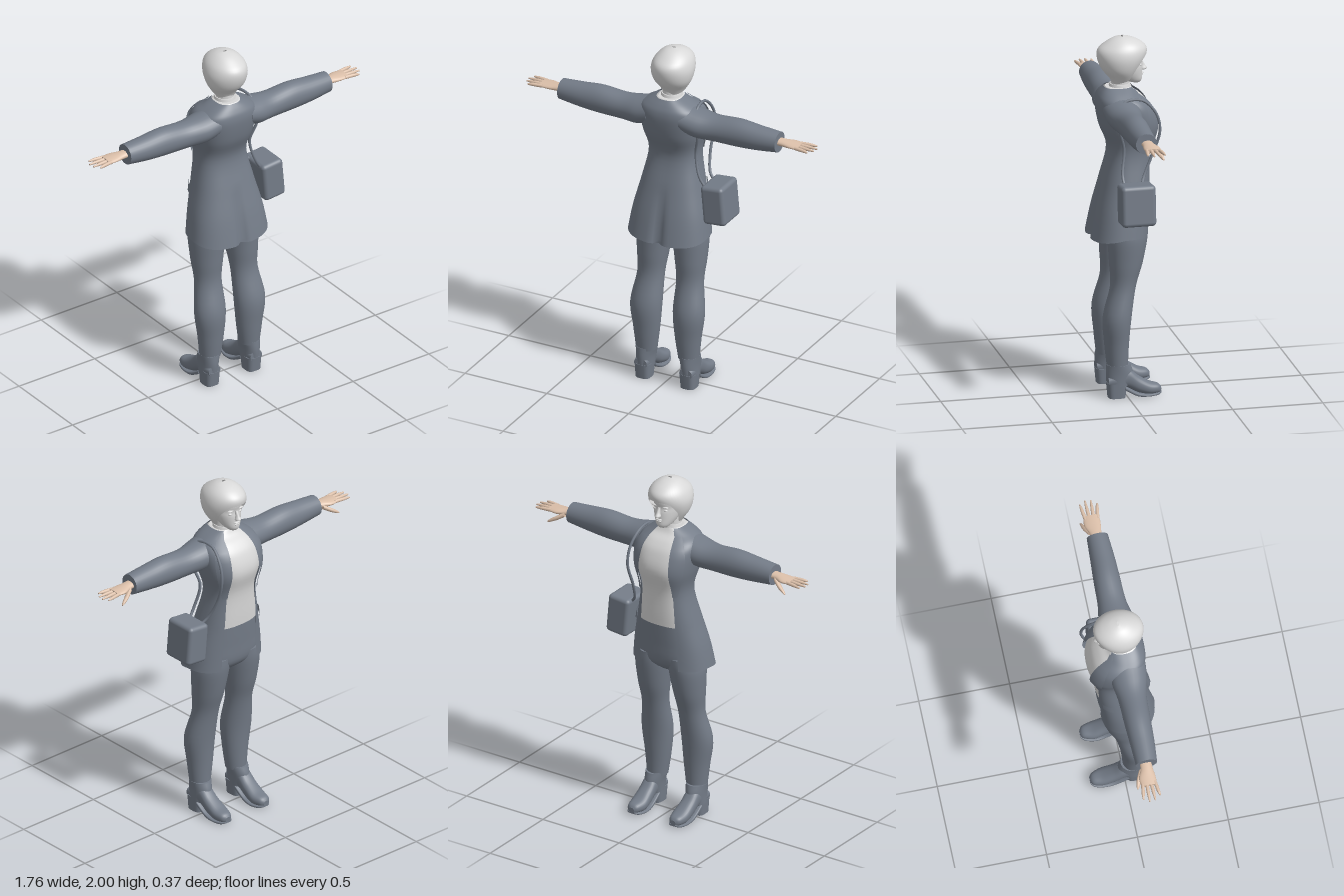
import * as THREE from 'three';
import { RoundedBoxGeometry } from 'three/addons/geometries/RoundedBoxGeometry.js';

const paint = (name, color) => new THREE.MeshStandardMaterial({ name, color, side: THREE.DoubleSide });
const V = (x, y, z) => new THREE.Vector3(x, y, z);
const clamp = THREE.MathUtils.clamp;
const pw = (v, e) => Math.sign(v) * Math.pow(Math.abs(v), e);

// Catmull-Rom smoothing of a short table of cross-sections
function smooth(rows, steps = 5) {
  const out = [], at = i => rows[clamp(i, 0, rows.length - 1)];
  for (let i = 0; i < rows.length - 1; i++) {
    for (let k = 0; k < steps; k++) {
      const t = k / steps;
      out.push(rows[i].map((b, j) => {
        const a = at(i - 1)[j], c = at(i + 1)[j], d = at(i + 2)[j];
        return b + 0.5 * t * (c - a + t * (2 * a - 5 * b + 4 * c - d + t * (3 * (b - c) + d - a)));
      }));
    }
  }
  out.push(rows[rows.length - 1]);
  return out;
}

// Section bounds at a given first value
function sample(rows, y) {
  let i = 0;
  while (i < rows.length - 2 && rows[i + 1][0] < y) i++;
  const t = clamp((y - rows[i][0]) / (rows[i + 1][0] - rows[i][0]), 0, 1);
  return rows[i].map((v, j) => v + (rows[i + 1][j] - v) * t);
}

// Surface through rings of points, optionally closed round and capped
function skin(rings, { closed = true, caps = true } = {}) {
  const n = rings[0].length, pts = rings.flat(), idx = [];
  for (let r = 0; r < rings.length - 1; r++) {
    for (let i = 0; i < (closed ? n : n - 1); i++) {
      const a = r * n + i, b = r * n + (i + 1) % n;
      idx.push(a, a + n, b, b, a + n, b + n);
    }
  }
  if (caps && closed) {
    [rings[0], rings[rings.length - 1]].forEach((ring, end) => {
      const base = pts.length, mid = V(0, 0, 0);
      ring.forEach(p => mid.addScaledVector(p, 1 / n));
      pts.push(...ring, mid);
      for (let i = 0; i < n; i++) {
        const a = base + i, b = base + (i + 1) % n;
        if (end) idx.push(b, base + n, a); else idx.push(a, base + n, b);
      }
    });
  }
  // turn the faces outwards
  const c = V(0, 0, 0), [p, q, s] = [V(), V(), V()];
  pts.forEach(v => c.addScaledVector(v, 1 / pts.length));
  let vol = 0;
  for (let i = 0; i < idx.length; i += 3) {
    p.subVectors(pts[idx[i]], c); q.subVectors(pts[idx[i + 1]], c); s.subVectors(pts[idx[i + 2]], c);
    vol += p.dot(q.cross(s));
  }
  if (vol < 0) idx.reverse();
  const g = new THREE.BufferGeometry().setFromPoints(pts);
  g.setIndex(idx);
  g.computeVertexNormals();
  return g;
}

// Loft along an axis; each row is [position, min a, max a, min b, max b]
function loft(axis, rows, { side = 1, e = 1, n = 28 } = {}) {
  return skin(smooth(rows).map(([t, a0, a1, b0, b1]) => Array.from({ length: n }, (_, i) => {
    const w = i / n * Math.PI * 2;
    const a = (a0 + a1) / 2 + (a1 - a0) / 2 * pw(Math.cos(w), e);
    const b = (b0 + b1) / 2 + (b1 - b0) / 2 * pw(Math.sin(w), e);
    const p = axis === 'y' ? V(a, t, b) : axis === 'x' ? V(t, a, b) : V(a, b, t);
    p.x *= side;
    return p;
  })));
}

// Coat rows: [height, half width, front z, back z, half opening]
const COAT = smooth([
  [0.91, 0.232, -0.135, 0.185, 0.125], [1.04, 0.212, -0.14, 0.155, 0.12],
  [1.2, 0.175, -0.15, 0.112, 0.11], [1.37, 0.145, -0.158, 0.075, 0.1],
  [1.5, 0.17, -0.19, 0.118, 0.1], [1.6, 0.182, -0.165, 0.136, 0.095],
  [1.655, 0.17, -0.125, 0.134, 0.085], [1.69, 0.125, -0.08, 0.118, 0.07], [1.72, 0.07, -0.06, 0.095, 0.045]]);

function coatPoint([y, rx, zf, zb], w, grow = 0) {
  const x = (rx + grow) * pw(Math.sin(w), 0.8), c = pw(Math.cos(w), 0.8);
  let z = (zf + zb) / 2 - ((zb - zf) / 2 + grow) * c;
  const low = clamp((1.2 - y) / 0.29, 0, 1);
  if (c < 0) z -= 0.03 * low * Math.exp(-((x / 0.025) ** 2)); // back pleat
  return V(x, y - 0.03 * Math.max(0, -c) * low * low, z);
}
const edgeAngle = r => Math.asin(Math.pow(clamp(r[4] / r[1], 0, 0.95), 1.25));

// Cloth patch lying on the coat from its front edge
function patch(y0, y1, from, width, side, grow) {
  const rings = Array.from({ length: 15 }, (_, k) => {
    const r = sample(COAT, y0 + (y1 - y0) * k / 14), a = edgeAngle(r) + from;
    return Array.from({ length: 8 }, (_, i) => {
      const p = coatPoint(r, a + width(k / 14) * i / 7, grow);
      p.x *= side;
      return p;
    });
  });
  return skin(rings, { closed: false });
}

export function createModel() {
  const model = new THREE.Group();
  model.name = 'figure';
  const slate = paint('slate', 0x747c88), pale = paint('pale grey', 0xd8d8d8), flesh = paint('flesh', 0xdcc0aa);
  const add = (name, geo, mat) => {
    const m = new THREE.Mesh(geo, mat);
    m.name = name;
    model.add(m);
    return m;
  };

  // Coat body, open at the front
  add('coat', skin(COAT.map(r => {
    const a = edgeAngle(r);
    return Array.from({ length: 73 }, (_, i) => coatPoint(r, a + (2 * Math.PI - 2 * a) * i / 72));
  }), { closed: false }), slate);

  // Shirt and polo neck
  add('shirt', skin(COAT.filter(r => r[0] > 1.16).map(r =>
    Array.from({ length: 48 }, (_, i) => coatPoint(r, i / 24 * Math.PI, -0.008)))), pale);
  add('neck', loft('y', [[1.66, -0.06, 0.06, -0.05, 0.07], [1.73, -0.05, 0.05, -0.045, 0.058],
    [1.82, -0.05, 0.05, -0.05, 0.06]]), pale);
  add('shirtCollar', loft('y', [[1.69, -0.064, 0.064, -0.062, 0.072], [1.715, -0.06, 0.06, -0.055, 0.068],
    [1.735, -0.055, 0.055, -0.05, 0.063]]), pale);

  // Head and face
  add('head', loft('y', [[1.737, -0.022, 0.03, -0.104, -0.055], [1.755, -0.04, 0.05, -0.114, 0],
    [1.79, -0.058, 0.07, -0.114, 0.05], [1.825, -0.068, 0.082, -0.113, 0.08], [1.855, -0.072, 0.086, -0.109, 0.09],
    [1.9, -0.07, 0.084, -0.115, 0.095], [1.95, -0.05, 0.065, -0.08, 0.06]]), pale);
  add('nose', loft('y', [[1.802, 0.0, 0.016, -0.125, -0.1], [1.81, -0.008, 0.024, -0.141, -0.1],
    [1.83, -0.002, 0.018, -0.13, -0.1], [1.858, 0.0, 0.016, -0.115, -0.1]], { n: 14 }), pale);
  const blob = (name, x, y, z, sx, sy, sz) => {
    const m = add(name, new THREE.SphereGeometry(1, 16, 10), pale);
    m.position.set(x, y, z);
    m.scale.set(sx, sy, sz);
  };
  blob('upperLip', 0.008, 1.788, -0.112, 0.022, 0.005, 0.009);
  blob('lowerLip', 0.008, 1.778, -0.111, 0.018, 0.006, 0.009);
  for (const s of [-1, 1]) {
    blob('eye', 0.008 + s * 0.033, 1.842, -0.096, 0.014, 0.007, 0.009);
    blob('brow', 0.008 + s * 0.034, 1.863, -0.1, 0.021, 0.005, 0.01);
  }

  // Bobbed hair with an edge that falls from fringe to nape
  const HAIR = smooth([[1.735, -0.05, 0.06, -0.04, 0.05], [1.77, -0.07, 0.082, -0.075, 0.068],
    [1.82, -0.1, 0.112, -0.1, 0.11], [1.88, -0.112, 0.124, -0.13, 0.133], [1.93, -0.1, 0.115, -0.138, 0.13],
    [1.965, -0.075, 0.092, -0.108, 0.09], [1.99, -0.04, 0.055, -0.058, 0.045], [2, -0.004, 0.02, -0.01, 0.002]]);
  add('hair', skin(Array.from({ length: 25 }, (_, k) => Array.from({ length: 48 }, (_, i) => {
    const w = i / 24 * Math.PI, f = (1 - Math.cos(w)) / 2;
    const edge = 1.9 - 0.125 * THREE.MathUtils.smoothstep(f, 0.03, 0.36) - 0.04 * f;
    const y = 2 - (2 - edge) * Math.pow(k / 24, 1.8);
    const [, x0, x1, z0, z1] = sample(HAIR, y);
    return V((x0 + x1) / 2 + (x1 - x0) / 2 * Math.sin(w), y, (z0 + z1) / 2 - (z1 - z0) / 2 * Math.cos(w));
  })), { caps: false }), pale);

  // Hips
  add('trouserHips', loft('y', [[0.87, -0.1, 0.1, -0.06, 0.05], [0.93, -0.19, 0.19, -0.118, 0.1],
    [1.05, -0.185, 0.185, -0.13, 0.11], [1.19, -0.158, 0.158, -0.138, 0.09]], { e: 0.85 }), slate);

  for (const side of [-1, 1]) {
    const o = { side };
    add('lapel', patch(1.36, 1.715, -0.03, t => 0.08 + 0.5 * Math.sin(Math.PI * Math.min(1, t * 0.75 + 0.1)), side, 0.009), slate);
    add('pocketFlap', patch(1.15, 1.2, 0.25, () => 0.5, side, 0.008), slate);

    // Sleeve with an open cuff, and hand
    add('sleeve', loft('x', [[0.1, 1.54, 1.69, -0.075, 0.125], [0.18, 1.515, 1.672, -0.075, 0.118],
      [0.28, 1.512, 1.66, -0.06, 0.096], [0.42, 1.512, 1.67, -0.055, 0.09], [0.54, 1.52, 1.66, -0.048, 0.085],
      [0.665, 1.535, 1.65, -0.042, 0.075]], o), slate);
    add('palm', loft('x', [[0.64, 1.575, 1.615, -0.02, 0.045], [0.69, 1.574, 1.612, -0.022, 0.044],
      [0.74, 1.575, 1.608, -0.04, 0.05], [0.79, 1.58, 1.604, -0.036, 0.05]], o), flesh);
    [0.865, 0.882, 0.878, 0.855].forEach((tip, i) => {
      const z = -0.026 + i * 0.022, fan = (i - 1.5) * 0.006;
      add('finger', loft('x', [[0.77, 1.582, 1.602, z - 0.01, z + 0.01],
        [0.83, 1.583, 1.601, z + fan - 0.009, z + fan + 0.009],
        [tip, 1.586, 1.595, z + fan * 1.5 - 0.004, z + fan * 1.5 + 0.004]], { side, n: 10 }), flesh);
    });
    add('thumb', loft('x', [[0.69, 1.57, 1.6, -0.03, 0.005], [0.73, 1.548, 1.575, -0.05, -0.02],
      [0.765, 1.533, 1.552, -0.058, -0.04], [0.778, 1.53, 1.538, -0.058, -0.048]], { side, n: 12 }), flesh);

    // Trouser leg
    add('trouserLeg', loft('y', [[0.17, 0.07, 0.187, -0.006, 0.108], [0.3, 0.052, 0.202, -0.012, 0.122],
      [0.45, 0.04, 0.22, -0.025, 0.13], [0.62, 0.042, 0.196, -0.052, 0.088], [0.75, 0.026, 0.204, -0.09, 0.092],
      [0.89, 0.008, 0.21, -0.118, 0.1], [0.97, 0.005, 0.195, -0.122, 0.1]], o), slate);

    // Ankle boot
    add('bootFoot', loft('z', [[-0.187, 0.12, 0.152, 0.018, 0.045], [-0.17, 0.102, 0.172, 0.01, 0.062],
      [-0.12, 0.086, 0.184, 0.006, 0.078], [-0.06, 0.09, 0.184, 0.02, 0.115], [0, 0.094, 0.182, 0.05, 0.165],
      [0.05, 0.092, 0.184, 0.055, 0.14], [0.108, 0.1, 0.176, 0.065, 0.12]], { side, e: 0.85 }), slate);
    add('bootShaft', loft('y', [[0.07, 0.09, 0.185, -0.02, 0.11], [0.13, 0.085, 0.186, -0.035, 0.115],
      [0.185, 0.074, 0.19, -0.018, 0.112]], o), slate);
    add('bootHeel', loft('y', [[0, 0.095, 0.18, 0.012, 0.105], [0.085, 0.09, 0.184, 0, 0.113]], { side, e: 0.6 }), slate);
    add('bootSole', loft('z', [[-0.188, 0.115, 0.155, 0.012, 0.022], [-0.165, 0.095, 0.176, 0.003, 0.018],
      [-0.11, 0.083, 0.187, 0, 0.016], [-0.05, 0.088, 0.186, 0.006, 0.028], [0.02, 0.092, 0.184, 0.045, 0.07]],
      { side, e: 0.5 }), slate);
  }

  // Shoulder bag and strap
  const bag = add('bag', new RoundedBoxGeometry(0.136, 0.225, 0.19, 3, 0.022), slate);
  bag.position.set(0.283, 1.128, -0.02);
  bag.rotation.z = 0.09;
  const strap = new THREE.CatmullRomCurve3([V(0.23, 1.2, 0.03), V(0.185, 1.27, 0.035), V(0.155, 1.4, 0.02),
    V(0.183, 1.53, 0.05), V(0.165, 1.665, 0.03), V(0.155, 1.675, -0.08), V(0.165, 1.6, -0.155),
    V(0.17, 1.5, -0.175), V(0.165, 1.36, -0.13), V(0.19, 1.25, -0.08), V(0.23, 1.21, -0.06)]);
  add('bagStrap', new THREE.TubeGeometry(strap, 70, 0.008, 8), slate);
  return model;
}
